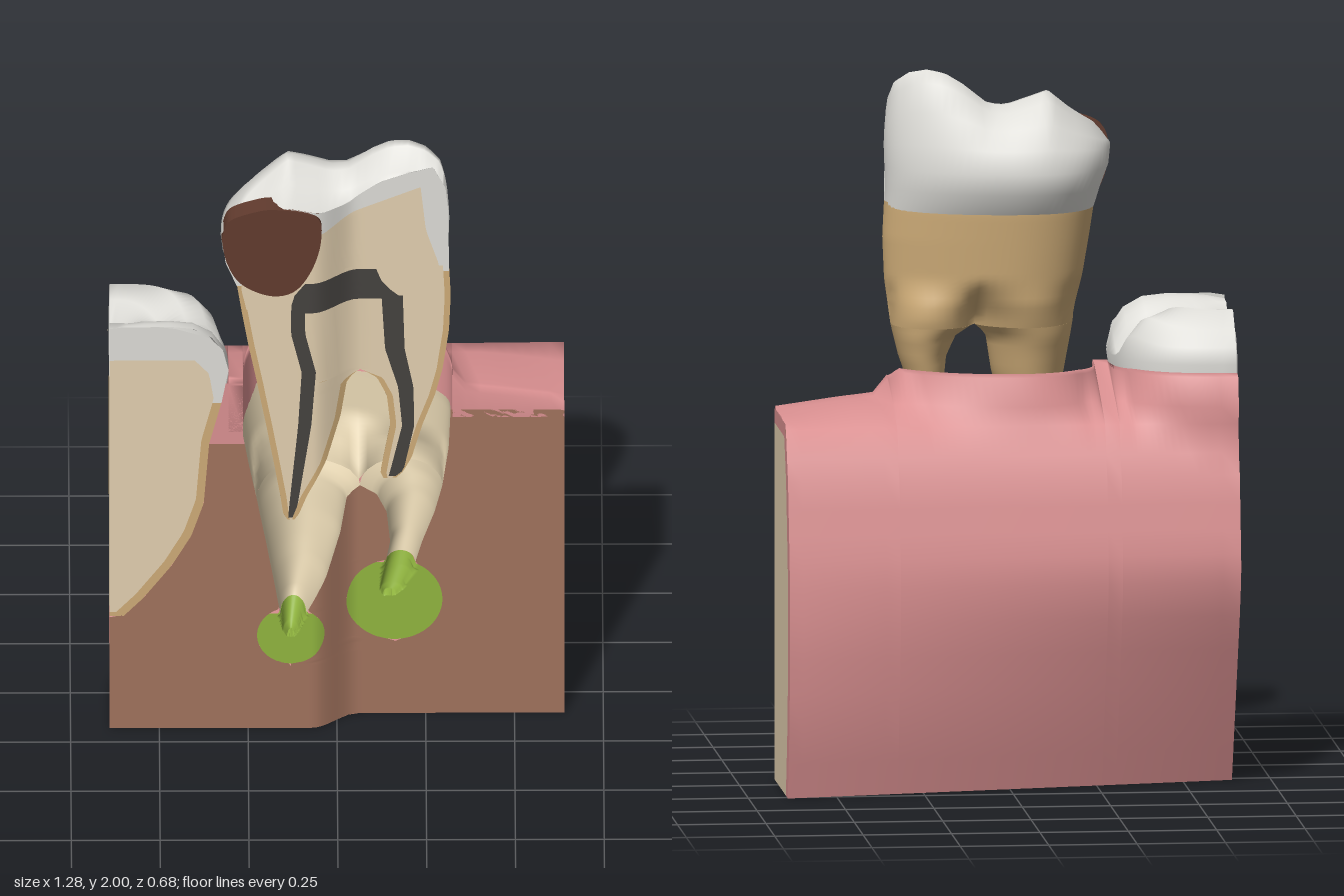
import * as THREE from 'three';

const mat = (name, color) => {
  const m = new THREE.MeshStandardMaterial({ color, side: THREE.DoubleSide });
  m.name = name;
  return m;
};

// piecewise linear lookup in rows [t, a, b, ...]
function at(rows, t, col = 1) {
  if (t <= rows[0][0]) return rows[0][col];
  for (let i = 1; i < rows.length; i++) {
    const p = rows[i - 1], q = rows[i];
    if (t <= q[0]) return p[col] + (q[col] - p[col]) * (t - p[0]) / (q[0] - p[0]);
  }
  return rows[rows.length - 1][col];
}
const mix = THREE.MathUtils.lerp;
const smooth = THREE.MathUtils.smoothstep;
const arc = (s) => Math.sqrt(Math.max(0, 1 - s * s));
const across = (u) => (1 - Math.cos(Math.PI * u)) / 2;
const lopsided = (u) => Math.sin(Math.PI * u ** 0.8);

// grid surface from a function (u, v) -> [x, y, z]
function surf(nu, nv, fn) {
  const pos = [], idx = [];
  for (let j = 0; j <= nv; j++) for (let i = 0; i <= nu; i++) pos.push(...fn(i / nu, j / nv));
  for (let j = 0; j < nv; j++) for (let i = 0; i < nu; i++) {
    const a = j * (nu + 1) + i, b = a + nu + 1;
    idx.push(a, a + 1, b, a + 1, b + 1, b);
  }
  const g = new THREE.BufferGeometry();
  g.setAttribute('position', new THREE.Float32BufferAttribute(pos, 3));
  g.setIndex(idx);
  g.computeVertexNormals();
  return g;
}

// stepped cutting plane of the jaw and, further forward, of the lifted tooth
const cut = (x) => mix(0.18, 0.105, smooth(x, -0.07, 0.06));
const GAP = 0.158, DROP = 0.5;
const toothCut = (x) => cut(x) + GAP;

// tooth outlines: [y, left edge, right edge]
const rootA = [[0.81, -0.14, -0.12], [0.83, -0.152, -0.107], [0.89, -0.16, -0.085], [1, -0.178, -0.03], [1.13, -0.2, 0.01], [1.24, -0.22, 0.028], [1.27, -0.225, 0.065]];
const rootB = [[0.9, 0.13, 0.165], [0.92, 0.122, 0.185], [0.97, 0.13, 0.21], [1.08, 0.15, 0.24], [1.18, 0.14, 0.275], [1.24, 0.112, 0.29], [1.27, 0.065, 0.297]];
const trunk = [[1.27, -0.225, 0.297], [1.4, -0.25, 0.315], [1.52, -0.27, 0.32], [1.62, -0.285, 0.315]];
const rootBack = [[0.81, 0.3], [0.9, 0.235], [1.05, 0.19], [1.2, 0.15], [1.34, 0.1], [1.6, 0.07]];
const neighbour = [[0.38, -0.64, -0.6], [0.44, -0.64, -0.545], [0.55, -0.64, -0.465], [0.65, -0.64, -0.41], [0.76, -0.64, -0.375], [0.96, -0.64, -0.36], [1.1, -0.64, -0.325], [1.21, -0.64, -0.305], [1.28, -0.64, -0.322], [1.32, -0.64, -0.36], [1.355, -0.64, -0.47]];

// position between the two edges, -1 to 1
const offset = (rows, x, y) => {
  const l = at(rows, y, 1), r = at(rows, y, 2);
  return THREE.MathUtils.clamp((2 * x - l - r) / (r - l), -1, 1);
};
// depth of the tooth behind its cut at a point
function depth(rows, x, y) {
  let s = arc(offset(rows, x, y));
  if (rows === trunk) {
    const lobes = Math.max(arc(offset(rootA, x, 1.27)), arc(offset(rootB, x, 1.27)));
    const full = lopsided(Math.acos(-offset(rows, x, y)) / Math.PI);
    s = mix(lobes, full, smooth(y, 1.27, 1.42));
  }
  return (toothCut(x) - at(rootBack, y)) * s;
}
const roundBack = (rows, y0, y1, dy, dz) => surf(32, 24, (u, v) => {
  const y = mix(y0, y1, v);
  const x = mix(at(rows, y, 1), at(rows, y, 2), across(u));
  return [x, y + dy, toothCut(x) - depth(rows, x, y) + dz];
});
// flat strip following a cutting plane
const strip = (rows, plane, off = 0) => surf(16, 40, (u, v) => {
  const y = mix(rows[0][0], rows[rows.length - 1][0], v);
  const x = mix(at(rows, y, 1), at(rows, y, 2), u);
  return [x, y, plane(x) + off];
});

export function createModel() {
  const enamel = mat('enamel white', 0xdddcd7), dentin = mat('dentin beige', 0xe2cfaf);
  const cementum = mat('root tan', 0xcdab77), bone = mat('bone brown', 0xa0725d);
  const gum = mat('gum pink', 0xda9091), decay = mat('decay brown', 0x613b2e);
  const pulp = mat('pulp grey', 0x45423f), infection = mat('infection green', 0x90b43f);
  const lining = mat('socket cream', 0xe0d0ae);
  const model = new THREE.Group();
  const group = (name) => { const g = new THREE.Group(); g.name = name; model.add(g); return g; };
  const add = (parent, name, geo, m) => {
    const o = new THREE.Mesh(geo, m);
    o.name = name;
    parent.add(o);
    return o;
  };

  // ---- lifted, halved tooth
  const tooth = group('sectionedTooth');
  [[rootA, 'longRoot'], [rootB, 'shortRoot'], [trunk, 'rootTrunk']].forEach(([rows, name]) => {
    add(tooth, name, roundBack(rows, rows[0][0], rows[rows.length - 1][0], 0, 0), cementum);
    add(tooth, name + 'Rim', strip(rows, toothCut), cementum);
    const inner = rows.map(([y, l, r]) => {
      const w = Math.min(0.017, (r - l) * 0.35);
      return [y, rows === rootB && y > 1.26 ? l : l + w, rows === rootA && y > 1.26 ? r : r - w];
    });
    add(tooth, name + 'Dentin', strip(inner, toothCut, 0.003), dentin);
  });
  const cusps = [[-0.33, 1.79], [-0.27, 1.84], [-0.2, 1.89], [-0.14, 1.94], [-0.08, 1.92], [-0.02, 1.9], [0.03, 1.905], [0.1, 1.96], [0.15, 1.99], [0.2, 2], [0.25, 1.99], [0.29, 1.96], [0.315, 1.88]];
  const cutTop = [[-0.3, 1.8], [-0.2, 1.85], [-0.14, 1.86], [-0.04, 1.84], [0.03, 1.835], [0.12, 1.9], [0.2, 1.93], [0.27, 1.95], [0.305, 1.88]];
  // crown rows: [left, right, back z, height, share of cusp height]
  const crown = [[-0.283, 0.315, 0.07, 1.6, 0], [-0.3, 0.312, 0.03, 1.66, 0], [-0.322, 0.314, 0.016, 1.72, 0], [-0.328, 0.316, 0.035, 1.77, 0.1],
    [-0.32, 0.314, 0.075, 1.77, 0.5], [-0.305, 0.31, 0.12, 1.77, 0.85], [-0.285, 0.305, 0.165, 1.77, 1], [-0.275, 0.3, 0.2, 1.77, 0.98], [-0.27, 0.3, 0.25, 1.77, 0.7], [-0.27, 0.305, 0.34, 0, 0]];
  add(tooth, 'crown', surf(40, crown.length - 1, (u, v) => {
    const i = Math.round(v * (crown.length - 1)), [l, r, zb, y, k] = crown[i];
    const x = mix(l, r, across(u));
    const last = i === crown.length - 1, f = toothCut(x);
    return [x, last ? at(cutTop, x) : mix(y, at(cusps, x), k), last ? f : f - (f - zb) * lopsided(u)];
  }), enamel);
  const face = (edges, y0, top, off) => surf(32, 16, (u, v) => {
    const x = mix(at(edges, v, 1), at(edges, v, 2), u);
    return [x, mix(y0, at(top, x), v), toothCut(x) + off];
  });
  add(tooth, 'enamelCut', face([[0, -0.283, 0.315], [0.4, -0.315, 0.314], [0.7, -0.32, 0.314], [1, -0.27, 0.305]], 1.6, cutTop, 0.001), enamel);
  add(tooth, 'crownDentin', face([[0, -0.255, 0.303], [0.3, -0.27, 0.285], [0.6, -0.27, 0.25], [1, -0.27, 0.235]], 1.52,
    [[-0.27, 1.75], [-0.04, 1.77], [0.06, 1.81], [0.2, 1.87], [0.235, 1.885]], 0.004), dentin);
  add(tooth, 'pulpChamber', strip([[1.51, -0.13, 0.185], [1.54, -0.128, 0.15], [1.57, -0.12, 0.125], [1.61, -0.09, 0.11]], toothCut, 0.006), pulp);
  add(tooth, 'longCanal', strip([[0.82, -0.138, -0.126], [0.86, -0.135, -0.112], [1.13, -0.11, -0.073], [1.31, -0.1, -0.06], [1.44, -0.13, -0.09], [1.52, -0.13, -0.09]], toothCut, 0.006), pulp);
  add(tooth, 'shortCanal', strip([[0.91, 0.145, 0.165], [0.93, 0.15, 0.187], [1.08, 0.183, 0.217], [1.21, 0.172, 0.215], [1.34, 0.135, 0.19], [1.52, 0.125, 0.185]], toothCut, 0.006), pulp);
  const blob = new THREE.Shape();
  blob.moveTo(-0.325, 1.76);
  blob.splineThru([[-0.305, 1.82], [-0.24, 1.85], [-0.17, 1.86], [-0.06, 1.835], [-0.045, 1.76], [-0.07, 1.66], [-0.12, 1.585], [-0.19, 1.57], [-0.27, 1.61], [-0.31, 1.68], [-0.325, 1.76]].map((p) => new THREE.Vector2(...p)));
  add(tooth, 'decay', new THREE.ExtrudeGeometry(blob, { depth: 0.065, bevelEnabled: false, curveSegments: 40 }), decay).position.z = 0.28;

  // ---- neighbouring tooth, cut at the front and at the outer end
  const next = group('neighbourTooth');
  const flat = () => 0.18;
  const boxy = (s) => Math.max(0, s) ** 0.75;
  add(next, 'rootRim', strip(neighbour.slice(0, 7), flat), cementum);
  add(next, 'dentinCut', strip([...neighbour.slice(0, 7).map(([y, l, r]) => [y + 0.015, l, r - 0.022]), [1.2, -0.64, -0.36], [1.245, -0.64, -0.4]], flat, 0.004), dentin);
  add(next, 'enamelCut', strip([...neighbour.slice(6), [1.356, -0.6, -0.5]], flat, 0.001), enamel);
  const dome = [[0.9, 0.96], [0.96, 1.1], [1, 1.2], [0.96, 1.27], [0.86, 1.32], [0.7, 1.35], [0.5, 1.357], [0.3, 1.355], [0.15, 1.35], [0, 1.34]];
  add(next, 'crown', surf(28, 9, (u, v) => {
    const [r, y] = dome[Math.round(v * 9)], a = u * Math.PI / 2, back = r * boxy(Math.cos(a));
    const dip = y > 1.25 ? 0.07 * Math.exp(-(((back - 0.34) / 0.15) ** 2)) : 0;
    return [-0.64 + 0.335 * r * boxy(Math.sin(a)), y - dip - 0.03 * smooth(back, 0.6, 0.9) * smooth(y, 1.2, 1.3), 0.18 - 0.345 * back];
  }), enamel);
  const endPlate = (rows, off) => surf(1, 20, (u, v) => {
    const y = mix(rows[0][0], rows[rows.length - 1][0], v);
    return [-0.64 - off, y, mix(at(rows, y), 0.18, u)];
  });
  const endRoot = [[0.72, 0.02], [0.78, -0.03], [0.95, -0.09], [1.12, -0.16]];
  add(next, 'endRootRim', endPlate(endRoot, 0.002), cementum);
  add(next, 'endDentin', endPlate(endRoot.map(([y, z]) => [y + 0.018, z + 0.018]), 0.004), dentin);
  add(next, 'endEnamel', endPlate([[1.12, -0.163], [1.2, -0.16], [1.25, -0.145], [1.285, -0.11]], 0.003), enamel);
  add(next, 'endRootTip', endPlate([[0.4, 0.16], [0.48, 0.13], [0.6, 0.14], [0.68, 0.175]], 0.002), cementum);

  // ---- empty socket with infected patches around the root tips
  const jaw = group('jaw');
  const spots = [{ root: rootA, x: -0.13, y: 0.313, r: 0.095, top: 0.387 }, { root: rootB, x: 0.162, y: 0.385, r: 0.135, top: 0.51 }];
  spots.forEach((s, i) => {
    add(jaw, 'rootSocket' + i, roundBack(s.root, s.top + DROP, 1.27, -DROP, -GAP), lining);
    add(jaw, 'infection' + i, surf(80, 48, (u, v) => {
      const a = u * Math.PI * 2, x = s.x + s.r * v * Math.cos(a), y = Math.min(s.top, s.y + s.r * v * Math.sin(a));
      return [x, y, cut(x) - (y + DROP > s.root[0][0] ? depth(s.root, x, y + DROP) : 0)];
    }), infection);
  });
  add(jaw, 'trunkSocket', roundBack(trunk, 1.27, 1.54, -DROP, -GAP), lining);

  // ---- brown front, left open around the socket
  const hole = (s, y) => {
    const w = s.r * arc((y - s.y) / s.r), t = y + DROP;
    let l = s.x - w, r = s.x + w;
    const rows = t > 1.27 ? trunk : s.root;
    if (t >= rows[0][0]) { l = Math.min(l, at(rows, t, 1)); r = Math.max(r, at(rows, t, 2)); }
    return [l, r];
  };
  const front = (y0, y1, left, right) => surf(20, 110, (u, v) => {
    const y = mix(y0, y1, v), x = mix(left(y), right(y), u);
    return [x, y, cut(x)];
  });
  const nextEdge = (y) => (y < 0.38 ? -0.64 : at(neighbour, y, 2));
  add(jaw, 'frontOuter', front(0, 0.96, nextEdge, (y) => hole(spots[0], y)[0]), bone);
  add(jaw, 'frontSeptum', front(0, 0.77, (y) => hole(spots[0], y)[1], (y) => hole(spots[1], y)[0]), bone);
  add(jaw, 'frontInner', front(0, 1.025, (y) => hole(spots[1], y)[1], () => 0.64), bone);

  // ---- gum folded over the top and down the back; it tucks under at the outer end
  const innerBack = [[0, -0.27], [0.2, -0.315], [0.45, -0.338], [0.65, -0.325], [0.9, -0.275], [1.03, -0.215]];
  const outerBack = [[0, -0.03], [0.3, -0.165], [0.5, -0.255], [0.63, -0.3], [0.75, -0.28], [0.9, -0.255], [1.03, -0.195]];
  const back = (x, y) => mix(at(outerBack, y), at(innerBack, y), x / 1.28 + 0.5);
  const rim = [[-0.64, 1.18], [-0.36, 1.18], [-0.285, 1.17], [-0.2, 1.18], [0.3, 1.18], [0.365, 1.1], [0.46, 1.09], [0.64, 1.065]];
  // columns: [x, inner edge z, outward lean of the collar]
  const columns = [];
  for (let i = 0; i <= 20; i++) {
    const a = i / 20 * Math.PI / 2;
    columns.push([-0.64 + 0.335 * boxy(Math.sin(a)), 0.18 - 0.35 * boxy(Math.cos(a)), 0]);
  }
  for (let i = 0; i <= 36; i++) {
    const u = i / 36, x = mix(-0.265, 0.325, across(u));
    columns.push([x, cut(x) - (cut(x) + 0.09) * lopsided(u), 0.045 * Math.sin(Math.PI * u)]);
  }
  for (let i = 1; i <= 8; i++) columns.push([0.325 + 0.315 * i / 8, 0.105, 0]);
  const heights = [0.96, 0.9, 0.82, 0.75, 0.68, 0.6, 0.5, 0.4, 0.3, 0.2, 0.1, 0];
  add(jaw, 'gum', surf(columns.length - 1, 6 + heights.length - 1, (u, v) => {
    const [x, zi, lean] = columns[Math.round(u * (columns.length - 1))], h = at(rim, x);
    const zc = Math.min(zi - 0.06 - lean * 0.7, -0.09), hc = Math.min(h - 0.005, 1.09);
    const rows = [[zi, 1.0], [zi - lean, h - 0.015], [zi - 0.015 - lean, h], [zi - 0.04 - lean, h - 0.008], [zc, hc],
      [Math.min(zc + 0.01, back(x, 1.03)), 1.04], ...heights.map((y) => [back(x, y), y])];
    const [z, y] = rows[Math.round(v * (rows.length - 1))];
    return [x, y, z];
  }), gum);
  add(jaw, 'gumBetweenTeeth', front(0.96, 1.165, nextEdge, (y) => Math.max(-0.265, at(trunk, y + DROP, 1))), gum);

  // ---- cut ends and underside
  [-0.64, 0.64].forEach((x) => {
    const inner = (y) => back(x, y) + 0.057;
    add(jaw, 'boneEnd', surf(1, 24, (u, v) => [x, v * 1.015, mix(inner(v * 1.015), cut(x), u)]), dentin);
    add(jaw, 'gumEnd', surf(1, 24, (u, v) => [x, v * 1.03, mix(back(x, v * 1.03), inner(v * 1.03), u)]), gum);
    add(jaw, 'gumEndTop', surf(1, 1, (u, v) => [x, mix(1.012, at(rim, x) - 0.01, v), x > 0 ? mix(-0.2, 0.105, u) : mix(-0.215, -0.15, u)]), gum);
  });
  const under = (z0, z1) => surf(40, 1, (u, v) => {
    const x = mix(-0.64, 0.64, u);
    return [x, 0, mix(z0(x), z1(x), v)];
  });
  add(jaw, 'gumUnderside', under((x) => back(x, 0), (x) => back(x, 0) + 0.057), gum);
  add(jaw, 'boneUnderside', under((x) => back(x, 0) + 0.057, () => 0.09), dentin);
  add(jaw, 'frontUnderside', under(() => 0.09, cut), bone);
  return model;
}
